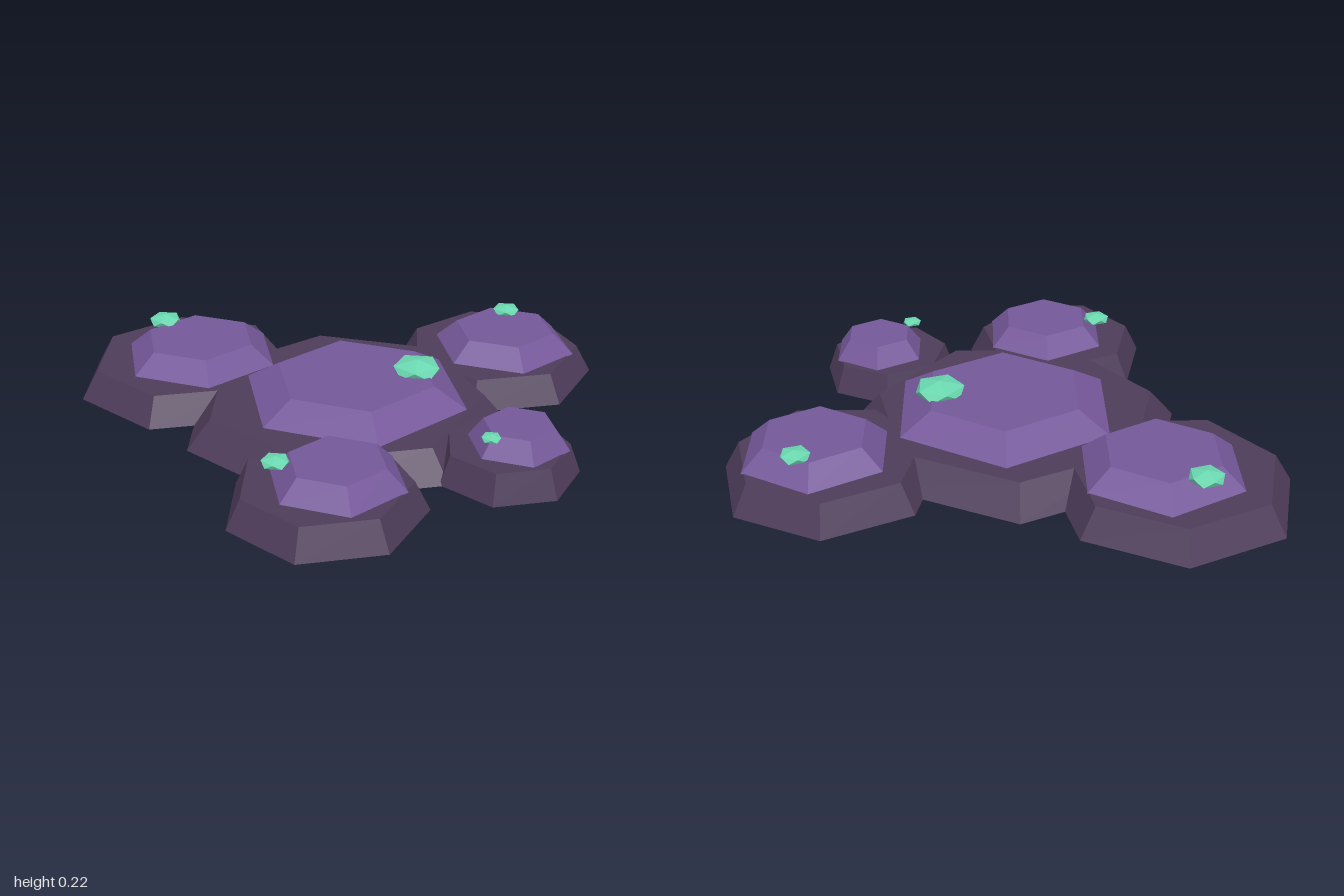
import * as THREE from 'three';

const BASE_TOP = 0.107, CAP_TOP = 0.18, GEM_Y = 0.185;

// base and cap: [x, z, radius]; gem: [x, z, radius]
const PADS = [
  { name: 'centre', base: [-0.043, -0.031, 0.612], cap: [0, -0.03, 0.433], gem: [0.234, -0.03, 0.1] },
  { name: 'backRight', base: [-0.575, -0.471, 0.434], cap: [-0.53, -0.468, 0.307], gem: [-0.652, -0.65, 0.067] },
  { name: 'backLeft', base: [0.615, -0.339, 0.391], cap: [0.66, -0.336, 0.279], gem: [0.711, -0.489, 0.059] },
  { name: 'frontRight', base: [-0.219, 0.584, 0.351], cap: [-0.177, 0.587, 0.246], gem: [-0.38, 0.564, 0.054] },
  { name: 'frontLeft', base: [0.443, 0.454, 0.259], cap: [0.484, 0.454, 0.183], gem: [0.358, 0.543, 0.039] },
];

function material(name, color) {
  const m = new THREE.MeshStandardMaterial({ color, flatShading: true });
  m.name = name;
  return m;
}

// Tapered polygonal slab from y0 to y1
function slab([x, z, r], taper, sides, y0, y1, mat, name) {
  const geo = new THREE.CylinderGeometry(r * taper, r, y1 - y0, sides);
  if (sides % 2) geo.rotateY(Math.PI); // odd polygons point to the back
  const mesh = new THREE.Mesh(geo, mat);
  mesh.position.set(x, (y0 + y1) / 2, z);
  mesh.name = name;
  return mesh;
}

export function createModel() {
  const group = new THREE.Group();
  group.name = 'steppedRockCluster';
  const rock = material('dark rock', 0x4e3c5a);
  const purple = material('purple stone', 0x75589a);
  const green = material('green crystal', 0x6ad8b0);

  for (const { name, base, cap, gem } of PADS) {
    const pad = new THREE.Group();
    pad.name = name + 'Pad';

    // Seven-sided rock with a six-sided cap
    pad.add(slab(base, 0.85, 7, 0, BASE_TOP, rock, name + 'Base'));
    pad.add(slab(cap, 0.7, 6, BASE_TOP - 0.002, CAP_TOP, purple, name + 'Cap'));

    // Flattened crystal standing on one of its points
    const geo = new THREE.IcosahedronGeometry(gem[2], 0).rotateZ(0.553).scale(1, 0.36, 1);
    const crystal = new THREE.Mesh(geo, green);
    crystal.position.set(gem[0], GEM_Y, gem[1]);
    crystal.name = name + 'Crystal';
    pad.add(crystal);
    group.add(pad);
  }
  return group;
}
